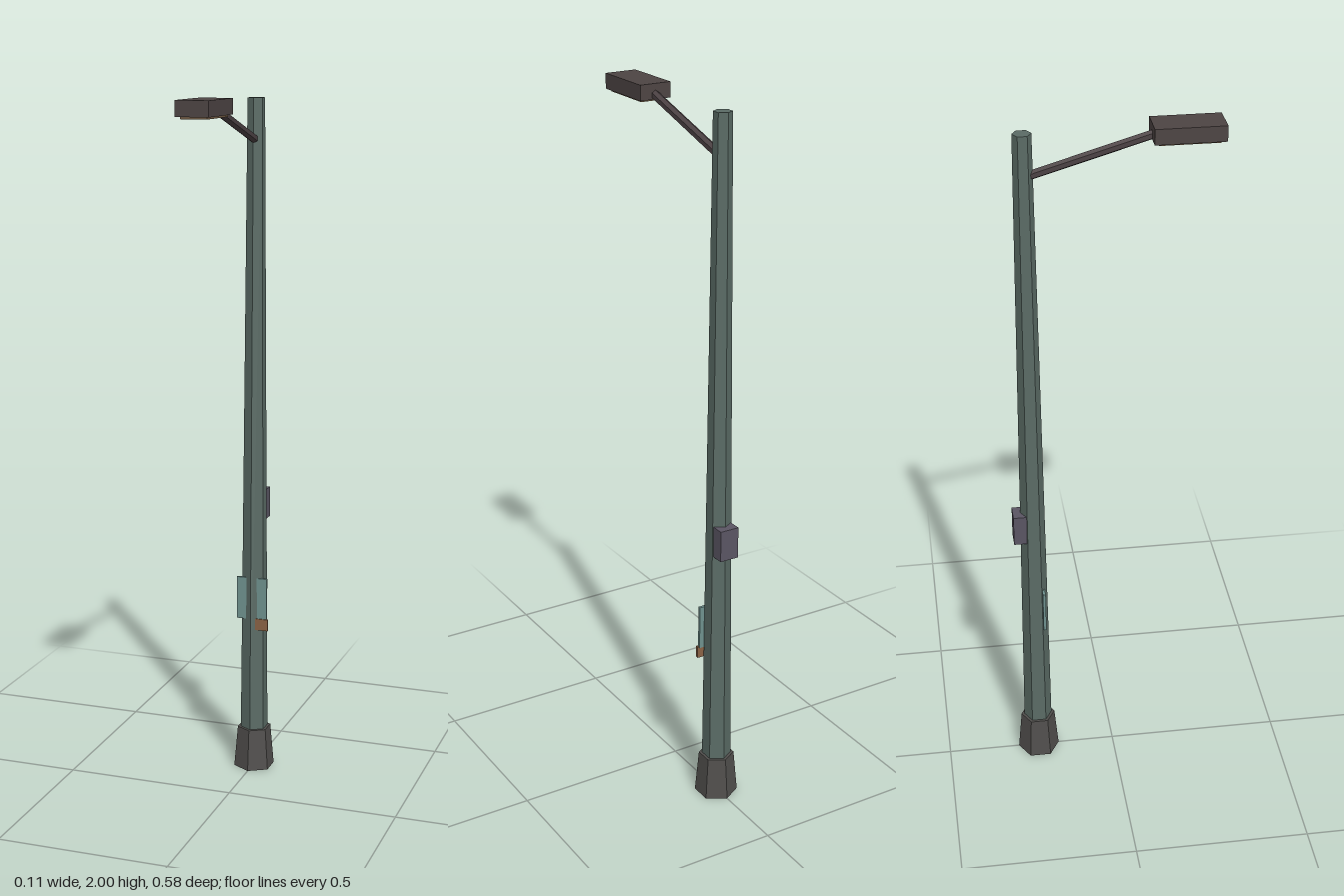
import * as THREE from 'three';

const POLE_Z = -0.228;

export function createModel() {
  const model = new THREE.Group();
  model.name = 'streetLamp';

  function add(name, geometry, color, x, y, z) {
    const material = new THREE.MeshStandardMaterial({ color, flatShading: true });
    const mesh = new THREE.Mesh(geometry, material);
    mesh.name = name;
    mesh.position.set(x, y, z);
    model.add(mesh);
    return mesh;
  }
  const box = (w, h, d) => new THREE.BoxGeometry(w, h, d);
  // Six-sided post with a corner facing the front
  const hex = (top, bottom, h) => new THREE.CylinderGeometry(top, bottom, h, 6);

  // Footing and tapered pole
  add('base', hex(0.05, 0.061, 0.125), 0x504e4c, 0, 0.0625, POLE_Z);
  add('pole', hex(0.025, 0.042, 1.99), 0x5a6b65, 0, 0.995, POLE_Z);

  // Sloping arm from the pole to the lamp head
  const start = new THREE.Vector3(0, 1.876, -0.215);
  const end = new THREE.Vector3(0, 1.975, 0.12);
  const along = end.clone().sub(start);
  const middle = start.clone().add(end).multiplyScalar(0.5);
  const arm = add('arm', hex(0.0125, 0.0125, along.length()), 0x4b4143, middle.x, middle.y, middle.z);
  arm.quaternion.setFromUnitVectors(new THREE.Vector3(0, 1, 0), along.normalize());

  // Lamp head with a recessed-looking lens below
  add('lampHead', box(0.092, 0.042, 0.186), 0x4d4443, 0, 1.979, 0.194);
  add('lens', box(0.072, 0.01, 0.16), 0x6b5640, 0, 1.957, 0.194);

  // Notices on the front, cut through by the pole's front corner
  add('noticePanel', box(0.092, 0.128, 0.008), 0x6f918e, 0, 0.535, -0.204);
  add('smallTag', box(0.045, 0.035, 0.008), 0x8a6244, 0.028, 0.457, -0.201);

  // Junction box on the back
  add('junctionBox', box(0.056, 0.09, 0.044), 0x5a5563, 0, 0.815, -0.262);

  return model;
}
